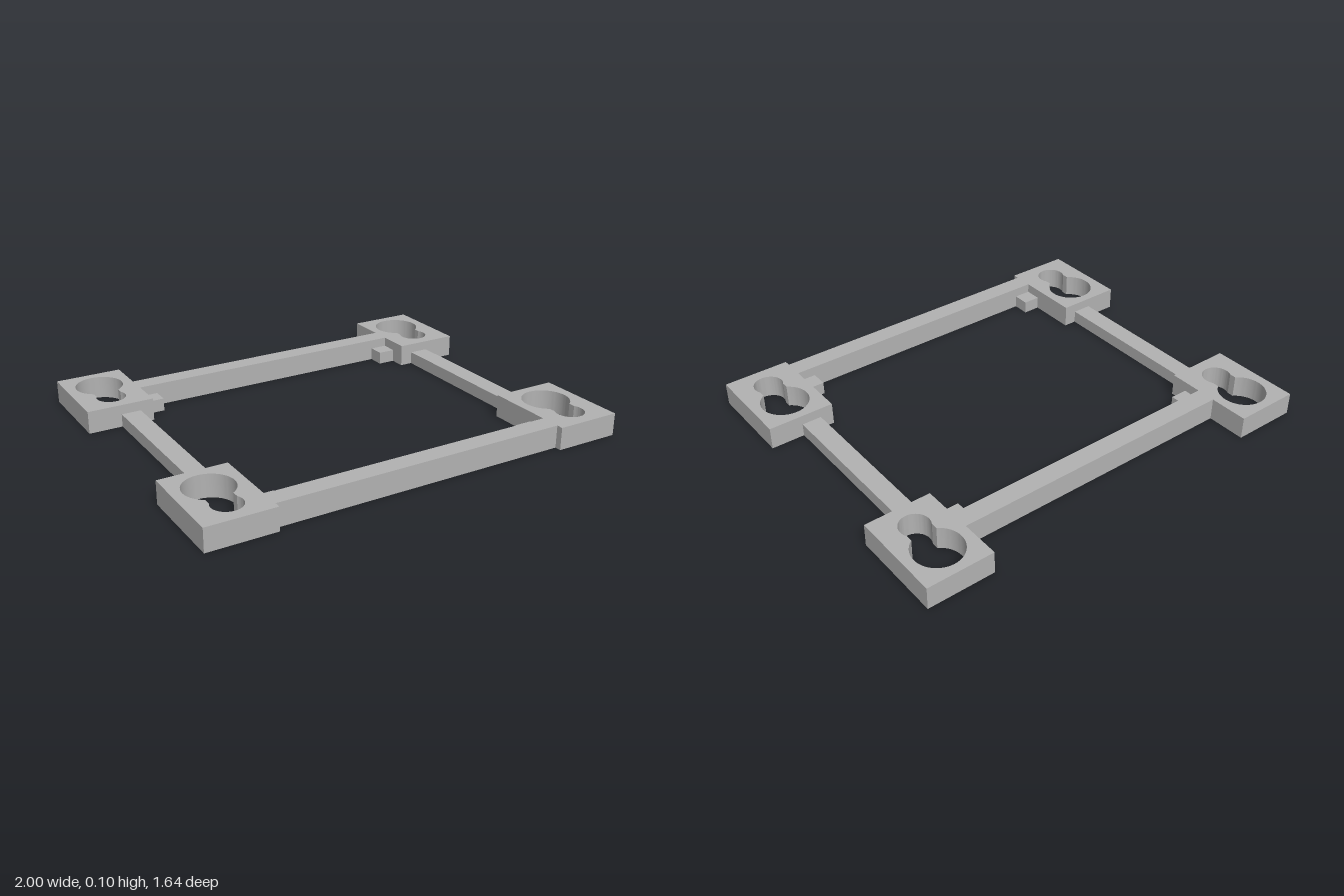
import * as THREE from 'three';
import { toCreasedNormals } from 'three/addons/utils/BufferGeometryUtils.js';

const HEIGHT = 0.105, LOW = 0.06;

// Rectangular pad pierced by a keyhole: wide circle, neck, small circle
function padGeometry() {
  const w = 0.155, d = 0.216, big = 0.11, small = 0.067, neck = 0.058;
  const shape = new THREE.Shape([
    new THREE.Vector2(-w, -d), new THREE.Vector2(w, -d),
    new THREE.Vector2(w, d), new THREE.Vector2(-w, d),
  ]);
  const a = -Math.acos(neck / big), b = Math.acos(neck / small);
  const hole = new THREE.Path();
  hole.absarc(0, 0.064, big, a, Math.PI - a, false);
  hole.absarc(0, -0.094, small, Math.PI - b, 2 * Math.PI + b, false);
  hole.closePath();
  shape.holes.push(hole);
  const geo = new THREE.ExtrudeGeometry(shape, { depth: HEIGHT, bevelEnabled: false, curveSegments: 32 });
  geo.rotateX(-Math.PI / 2);
  return toCreasedNormals(geo, 0.4);
}

export function createModel() {
  const group = new THREE.Group();
  group.name = 'keyholeFrame';
  const grey = new THREE.MeshStandardMaterial({ color: 0xb2b2b2 });
  grey.name = 'grey';

  // Box standing on the ground, given by its x and z limits
  const bar = (name, x0, x1, z0, z1, h) => {
    const mesh = new THREE.Mesh(new THREE.BoxGeometry(x1 - x0, h, z1 - z0), grey);
    mesh.position.set((x0 + x1) / 2, h / 2, (z0 + z1) / 2);
    mesh.name = name;
    group.add(mesh);
  };

  // Full-height cross rails
  bar('backRail', -0.69, 0.69, -0.636, -0.545, HEIGHT);
  bar('frontRail', -0.69, 0.69, 0.7, 0.791, HEIGHT);

  const pad = padGeometry();
  for (const [side, s] of [['left', 1], ['right', -1]]) {
    // Corner pads; every keyhole points towards the front
    for (const [end, z] of [['Back', -0.605], ['Front', 0.605]]) {
      const mesh = new THREE.Mesh(pad, grey);
      mesh.name = side + end + 'Pad';
      mesh.position.set(s * 0.845, 0, z);
      group.add(mesh);
    }
    // Low side rail and the small blocks inside the corners
    const mirrored = (name, a, b, z0, z1) =>
      bar(side + name, Math.min(s * a, s * b), Math.max(s * a, s * b), z0, z1, LOW);
    mirrored('SideRail', 0.752, 0.844, -0.389, 0.389);
    mirrored('BackBlock', 0.607, 0.69, -0.545, -0.466);
    mirrored('FrontBlock', 0.607, 0.69, 0.619, 0.7);
  }
  return group;
}
